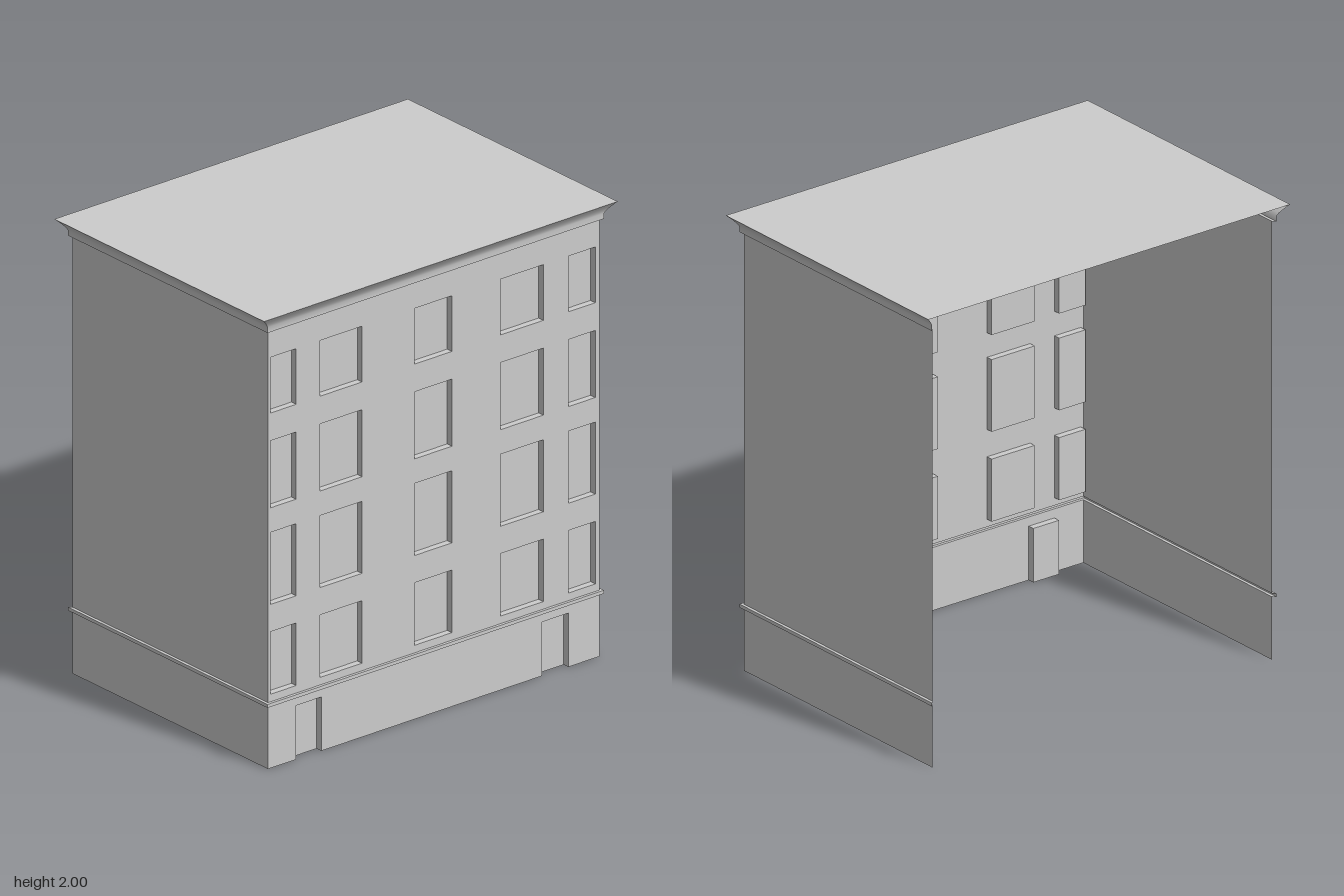
import * as THREE from 'three';
import { toCreasedNormals } from 'three/addons/utils/BufferGeometryUtils.js';

const W = 0.867, D = 0.613;          // half width and half depth of the walls
const BAND = [0.277, 0.292], EAVES = 1.926, TOP = 2;
const RECESS = 0.03;

const columns = [[-0.855, -0.72], [-0.595, -0.375], [-0.1, 0.095], [0.35, 0.573], [0.705, 0.845]];
const rows = [[0.325, 0.6], [0.72, 1.037], [1.145, 1.44], [1.562, 1.807]];
const doors = [[-0.72, -0.588], [0.567, 0.705]];
const doorTop = 0.237;

const material = new THREE.MeshStandardMaterial({ color: 0xcccccc, side: THREE.DoubleSide });

function add(parent, name, geometry) {
  const mesh = new THREE.Mesh(geometry, material);
  mesh.name = name;
  parent.add(mesh);
  return mesh;
}

// Sweeps a profile of [x offset, y, z offset] along one run between two plan corners
function run(profile, [ax, az], [bx, bz]) {
  const positions = [], index = [];
  for (const [ox, y, oz = ox] of profile) {
    for (const [sx, sz] of [[ax, az], [bx, bz]]) positions.push(sx * (W + ox), y, sz * (D + oz));
  }
  for (let j = 0; j < profile.length - 1; j++) {
    const k = j * 2;
    index.push(k, k + 1, k + 3, k, k + 3, k + 2);
  }
  const geometry = new THREE.BufferGeometry();
  geometry.setAttribute('position', new THREE.Float32BufferAttribute(positions, 3));
  geometry.setIndex(index);
  return toCreasedNormals(geometry, 0.8);
}

const corners = { left: [[1, 1], [1, -1]], front: [[-1, 1], [1, 1]], right: [[-1, -1], [-1, 1]] };

function sweep(parent, name, profile, sides = ['left', 'front', 'right']) {
  const group = new THREE.Group();
  group.name = name;
  for (const side of sides) add(group, `${side} ${name}`, run(profile, ...corners[side]));
  parent.add(group);
}

// Recessed panel with its reveals: a box without its front (and optionally its bottom)
function recess(parent, name, [x0, x1], [y0, y1], openBottom) {
  const geometry = new THREE.BoxGeometry(x1 - x0, y1 - y0, RECESS);
  const index = Array.from(geometry.index.array);
  index.splice(24, 6);
  if (openBottom) index.splice(18, 6);
  geometry.setIndex(index);
  geometry.clearGroups();
  add(parent, name, geometry).position.set((x0 + x1) / 2, (y0 + y1) / 2, D - RECESS / 2);
}

export function createModel() {
  const model = new THREE.Group();
  model.name = 'building';

  // Ground floor front, notched for the doors
  const base = new THREE.Shape();
  base.moveTo(-W, 0);
  for (const [x0, x1] of doors) {
    base.lineTo(x0, 0);
    base.lineTo(x0, doorTop);
    base.lineTo(x1, doorTop);
    base.lineTo(x1, 0);
  }
  base.lineTo(W, 0);
  base.lineTo(W, BAND[0]);
  base.lineTo(-W, BAND[0]);
  add(model, 'groundFloorFront', new THREE.ShapeGeometry(base)).position.z = D;

  // Upper front, pierced by the window grid
  const upper = new THREE.Shape();
  upper.moveTo(-W, BAND[1]);
  upper.lineTo(W, BAND[1]);
  upper.lineTo(W, EAVES);
  upper.lineTo(-W, EAVES);
  const windows = new THREE.Group();
  windows.name = 'windows';
  model.add(windows);
  for (const [y0, y1] of rows) {
    for (const [x0, x1] of columns) {
      const hole = new THREE.Path();
      hole.moveTo(x0, y0);
      hole.lineTo(x0, y1);
      hole.lineTo(x1, y1);
      hole.lineTo(x1, y0);
      upper.holes.push(hole);
      recess(windows, 'window', [x0, x1], [y0, y1], false);
    }
  }
  add(model, 'upperFront', new THREE.ShapeGeometry(upper)).position.z = D;

  // Doors
  for (const d of doors) recess(model, 'door', d, [0, doorTop], true);

  // Plain side walls; the back stays open
  sweep(model, 'base wall', [[0, 0], [0, BAND[0]]], ['left', 'right']);
  sweep(model, 'upper wall', [[0, BAND[1]], [0, EAVES]], ['left', 'right']);

  // String course and flared cornice
  sweep(model, 'string course', [[0, BAND[0]], [0.013, BAND[0]], [0.013, BAND[1]], [0, BAND[1]]]);
  sweep(model, 'cornice', [
    [0, EAVES], [0.013, EAVES], [0.013, 1.95], [0.021, 1.963, 0.018],
    [0.037, 1.981, 0.03], [0.058, TOP, 0.045],
  ]);

  // Flat roof
  const roof = new THREE.PlaneGeometry(2 * (W + 0.058), 2 * (D + 0.045)).rotateX(-Math.PI / 2);
  add(model, 'roof', roof).position.y = TOP;

  return model;
}
